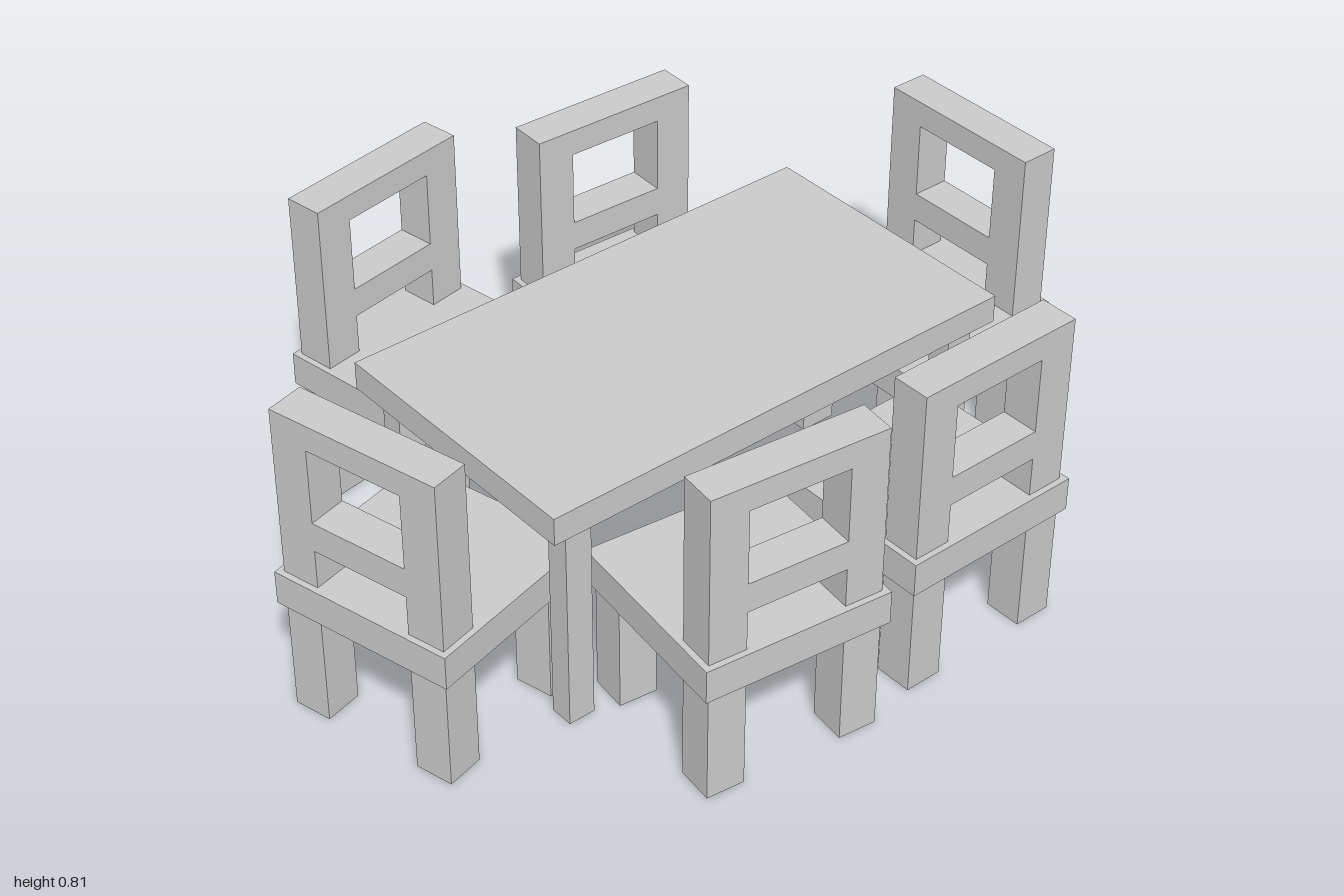
import * as THREE from 'three';

const grey = new THREE.MeshStandardMaterial({ color: 0xcccccc, flatShading: true });

// Box given by its min and max on each axis
function box(name, x0, x1, y0, y1, z0, z1) {
  const g = new THREE.BoxGeometry(x1 - x0, y1 - y0, z1 - z0);
  g.translate((x0 + x1) / 2, (y0 + y1) / 2, (z0 + z1) / 2);
  const mesh = new THREE.Mesh(g, grey);
  mesh.name = name;
  return mesh;
}

function rect(target, x0, x1, y0, y1) {
  target.moveTo(x0, y0).lineTo(x1, y0).lineTo(x1, y1).lineTo(x0, y1).closePath();
  return target;
}

// Chair faces its local +z, backrest at -z
function createChair(name) {
  const chair = new THREE.Group();
  chair.name = name;
  const half = 0.235, outer = 0.22, leg = 0.095;
  chair.add(box('seat', -half, half, 0.29, 0.375, -half, half));

  // Four square legs
  for (const x of [-outer, outer - leg])
    for (const z of [-outer, outer - leg])
      chair.add(box('chairLeg', x, x + leg, 0, 0.29, z, z + leg));

  // Backrest frame: window above the rail, open gap below it
  const inner = outer - leg;
  const shape = new THREE.Shape();
  [[-outer, 0.375], [-inner, 0.375], [-inner, 0.475], [inner, 0.475],
    [inner, 0.375], [outer, 0.375], [outer, 0.805], [-outer, 0.805]]
    .forEach(([x, y], i) => (i ? shape.lineTo(x, y) : shape.moveTo(x, y)));
  shape.closePath();
  shape.holes.push(rect(new THREE.Path(), -inner, inner, 0.55, 0.74));
  const geometry = new THREE.ExtrudeGeometry(shape, { depth: leg, bevelEnabled: false });
  geometry.translate(0, 0, -outer);
  const back = new THREE.Mesh(geometry, grey);
  back.name = 'backrest';
  chair.add(back);
  return chair;
}

function createTable() {
  const table = new THREE.Group();
  table.name = 'table';
  table.add(box('tableTop', -0.32, 0.392, 0.545, 0.615, -0.66, 0.607));
  for (const x of [-0.293, 0.305])
    for (const z of [-0.615, 0.49])
      table.add(box('tableLeg', x, x + 0.06, 0, 0.545, z, z + 0.068));
  return table;
}

export function createModel() {
  const model = new THREE.Group();
  model.name = 'diningSet';
  model.add(createTable());

  // Chairs: name, centre x, centre z, turn about y
  const chairs = [
    ['backChair', 0.02, -0.765, 0],
    ['frontChair', 0.085, 0.71, -2.894],
    ['rightBackChair', -0.403, -0.293, 1.535],
    ['rightFrontChair', -0.533, 0.248, 1.742],
    ['leftBackChair', 0.533, -0.304, -1.563],
    ['leftFrontChair', 0.539, 0.233, -1.687],
  ];
  for (const [name, x, z, turn] of chairs) {
    const chair = createChair(name);
    chair.position.set(x, 0, z);
    chair.rotation.y = turn;
    model.add(chair);
  }
  return model;
}
